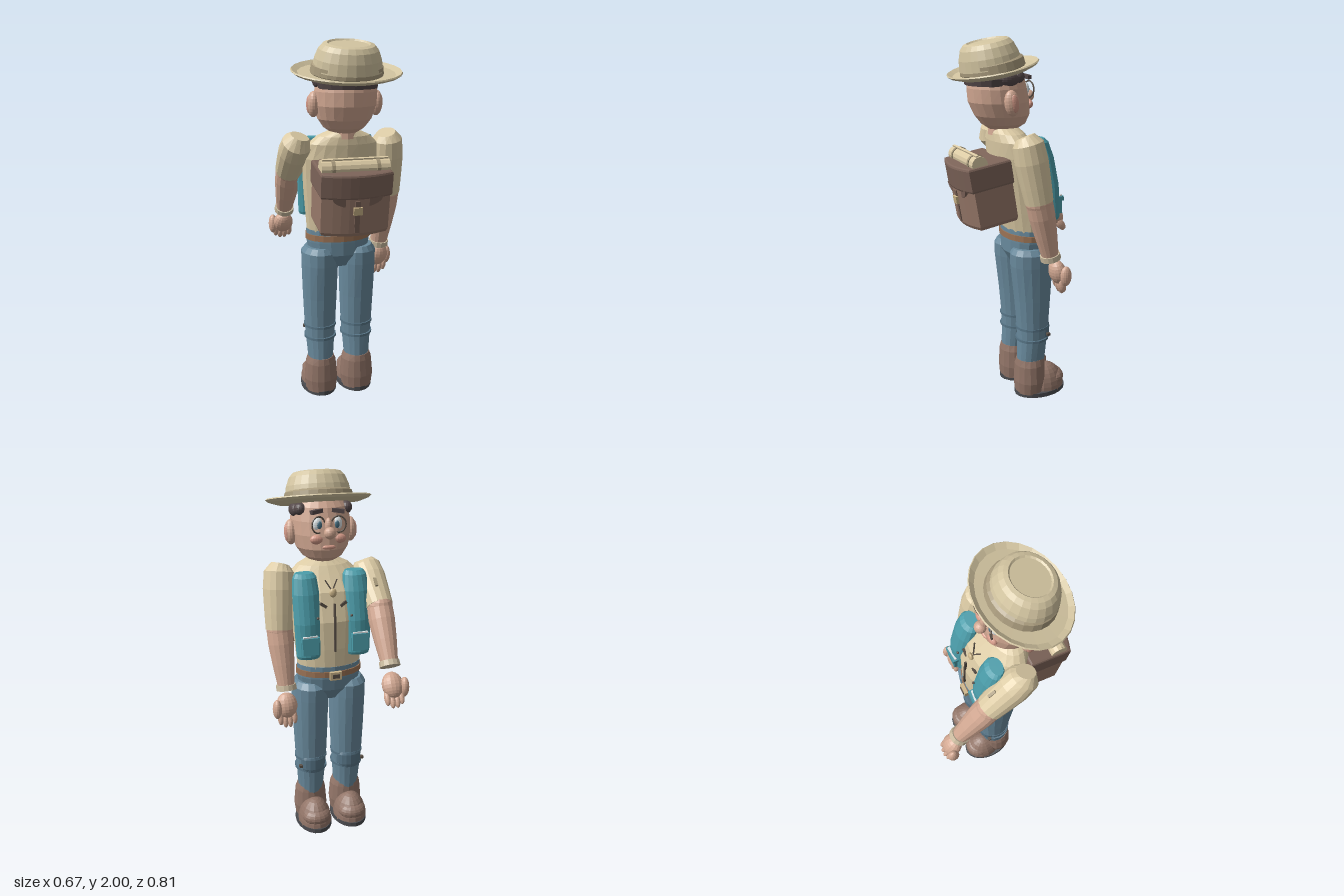
import * as THREE from 'three';

const mat = (color) => new THREE.MeshStandardMaterial({ color, flatShading: true, side: THREE.DoubleSide });
const M = {
  skin: mat(0xd3a993), blush: mat(0xd49a88), shirt: mat(0xdccba5), hat: mat(0xd2c4a0), band: mat(0xa89a7c),
  pants: mat(0x6a8b9e), pad: mat(0x587688), teal: mat(0x4c9eab), boot: mat(0x927568), sole: mat(0x4b4c50),
  bag: mat(0x98796a), flap: mat(0x7d6459), belt: mat(0x9b7355), gold: mat(0xcdb68a), hair: mat(0x55494a),
  white: mat(0xdfe6e8), eye: mat(0x4a7386), dark: mat(0x5b5148), cuff: mat(0xcbbca0),
};

export function createModel() {
  const root = new THREE.Group();
  const add = (name, geo, m, pos = [0, 0, 0], scale = [1, 1, 1], rot = [0, 0, 0], parent = root) => {
    const mesh = new THREE.Mesh(geo, m);
    mesh.name = name;
    mesh.position.set(...pos);
    mesh.scale.set(...scale);
    mesh.rotation.set(...rot);
    parent.add(mesh);
    return mesh;
  };
  const group = (name, pos = [0, 0, 0], rot = [0, 0, 0]) => {
    const g = new THREE.Group();
    g.name = name;
    g.position.set(...pos);
    g.rotation.set(...rot);
    root.add(g);
    return g;
  };
  const ball = (name, m, pos, radii, rot, parent) => add(name, new THREE.SphereGeometry(1, 16, 12), m, pos, radii, rot, parent);
  const box = (name, m, pos, size, rot, parent) => add(name, new THREE.BoxGeometry(1, 1, 1), m, pos, size, rot, parent);

  // Closed skin over elliptical rings [x, y, z, rx, rz], listed from bottom to top;
  // bent rings stand square to the path, others lie level.
  const loft = (rings, bent = false, n = 16) => {
    const pos = [], idx = [], up = new THREE.Vector3(0, 1, 0);
    const c = rings.map((r) => new THREE.Vector3(r[0], r[1], r[2]));
    rings.forEach((r, i) => {
      const t = c[Math.min(i + 1, c.length - 1)].clone().sub(c[Math.max(i - 1, 0)]).normalize();
      const q = new THREE.Quaternion().setFromUnitVectors(up, bent ? t : up);
      for (let j = 0; j < n; j++) {
        const a = (j / n) * Math.PI * 2;
        const v = new THREE.Vector3(Math.cos(a) * r[3], 0, Math.sin(a) * r[4]).applyQuaternion(q).add(c[i]);
        pos.push(v.x, v.y, v.z);
        const k = (j + 1) % n, o = i * n;
        if (i < rings.length - 1) idx.push(o + j, o + n + j, o + k, o + k, o + n + j, o + n + k);
      }
    });
    const b = rings.length * n, top = b - n;
    pos.push(...c[0].toArray(), ...c[c.length - 1].toArray());
    for (let j = 0; j < n; j++) {
      const k = (j + 1) % n;
      idx.push(b, j, k, b + 1, top + k, top + j);
    }
    const g = new THREE.BufferGeometry();
    g.setAttribute('position', new THREE.Float32BufferAttribute(pos, 3));
    g.setIndex(idx);
    g.computeVertexNormals();
    return g;
  };

  // Legs, knee pads and boots
  for (const s of [-1, 1]) {
    const x = 0.107 * s;
    add('leg', loft([[x, 0.2, 0, 0.07, 0.08], [x, 0.35, -0.01, 0.082, 0.085], [x, 0.44, -0.012, 0.089, 0.09],
      [x, 0.6, -0.01, 0.096, 0.102], [x, 0.8, -0.005, 0.102, 0.12], [x, 0.87, -0.005, 0.102, 0.122],
      [x, 0.9, 0, 0.08, 0.1]]), M.pants);
    add('kneePad', loft([[x, 0.35, -0.055, 0.062, 0.05], [x, 0.37, -0.057, 0.07, 0.052],
      [x, 0.43, -0.057, 0.072, 0.052], [x, 0.445, -0.055, 0.062, 0.05]]), M.pad);
    for (const y of [0.36, 0.43]) {
      add('kneeStrap', new THREE.CylinderGeometry(1, 1, 0.014, 16, 1), M.pad, [x, y, -0.01], [0.092, 1, 0.095]);
    }
    box('kneeBuckle', M.dark, [x + 0.075 * s, 0.39, -0.075], [0.02, 0.014, 0.02]);
    add('bootShaft', loft([[x, 0.03, 0.005, 0.088, 0.085], [x, 0.1, 0.005, 0.097, 0.09],
      [x, 0.2, 0.005, 0.088, 0.085], [x, 0.235, 0.003, 0.075, 0.08]]), M.boot);
    add('bootToe', new THREE.SphereGeometry(1, 16, 8, 0, Math.PI * 2, 0, Math.PI / 2), M.boot, [x, 0.03, -0.09], [0.096, 0.145, 0.115]);
    ball('toeCap', M.boot, [x, 0.085, -0.135], [0.082, 0.052, 0.07]);
    add('sole', loft([[x, 0.005, -0.06, 0.09, 0.14], [x, 0.012, -0.06, 0.102, 0.152], [x, 0.037, -0.06, 0.102, 0.152]], false, 20), M.sole);
    for (const [dx, dz] of [[0.04, -0.13], [-0.04, -0.13], [0, 0.03]]) {
      add('tread', new THREE.CylinderGeometry(0.032, 0.032, 0.006, 10), M.flap, [x + dx, 0.003, dz]);
    }
  }

  // Pelvis, belt and torso
  add('pelvis', loft([[0, 0.79, 0, 0.1, 0.07], [0, 0.86, -0.005, 0.165, 0.115], [0, 0.93, -0.01, 0.178, 0.122],
    [0, 1.0, -0.01, 0.18, 0.122]]), M.pants);
  add('belt', new THREE.CylinderGeometry(1, 1, 0.032, 20), M.belt, [0, 0.958, -0.01], [0.184, 1, 0.128]);
  box('buckle', M.gold, [0, 0.955, -0.145], [0.065, 0.045, 0.02]);
  box('buckleInset', M.dark, [0, 0.955, -0.157], [0.04, 0.022, 0.005]);
  add('torso', loft([[0, 0.99, -0.01, 0.176, 0.12], [0, 1.1, 0, 0.186, 0.132], [0, 1.25, 0.015, 0.2, 0.145],
    [0, 1.4, 0.05, 0.208, 0.135], [0, 1.48, 0.085, 0.185, 0.105], [0, 1.52, 0.1, 0.14, 0.088],
    [0, 1.545, 0.11, 0.085, 0.07]], false, 20), M.shirt);
  box('zip', M.dark, [0, 1.22, -0.13], [0.01, 0.26, 0.012], [0.06, 0, 0]);
  ball('pendant', M.gold, [0, 1.4, -0.092], [0.02, 0.024, 0.012]);
  for (const s of [-1, 1]) {
    box('cord', M.dark, [0.017 * s, 1.435, -0.065], [0.006, 0.065, 0.006], [0.4, 0, -0.5 * s]);
    box('chestLoop', M.dark, [0.055 * s, 1.34, -0.1], [0.04, 0.015, 0.012], [0, 0, 0.6 * s]);
  }

  // Vest panels with pockets
  for (const s of [-1, 1]) {
    const x = 0.137 * s;
    add('vestPanel', loft([[x, 1.06, -0.1, 0.06, 0.04], [x, 1.075, -0.1, 0.066, 0.046], [x, 1.25, -0.087, 0.073, 0.05],
      [x, 1.4, -0.055, 0.073, 0.05], [x, 1.48, -0.03, 0.064, 0.045], [x, 1.5, -0.02, 0.05, 0.032]]), M.teal);
    box('vestPocket', M.teal, [x, 1.13, -0.137], [0.085, 0.085, 0.025], [0.06, 0, 0]);
    box('pocketFlap', M.teal, [x, 1.17, -0.142], [0.095, 0.025, 0.03], [0.06, 0, 0]);
    box('pocketTrim', M.white, [x, 1.186, -0.14], [0.08, 0.008, 0.015], [0, 0.1 * s, 0]);
    ball('button', M.dark, [x - 0.045 * s, 1.28, -0.125], [0.007, 0.007, 0.007]);
  }

  // Arms: shoulder, elbow, wrist, palm and fingertip points
  const V = (a) => new THREE.Vector3(...a);
  const arm = (side, sh, el, wr, palm, tip, sleeveEnd) => {
    const mix = (a, b, t) => V(a).lerp(V(b), t).toArray();
    const ring = (p, r) => [...p, r, r];
    const s = Math.sign(sh[0]);
    add(side + 'Sleeve', loft([ring(mix(sh, el, sleeveEnd), 0.074), ring(mix(sh, el, 0.72), 0.08),
      ring(mix(sh, el, 0.3), 0.087), ring(sh, 0.08), ring([sh[0] - 0.01 * s, sh[1] + 0.035, sh[2] + 0.012], 0.05)], true), M.shirt);
    ball(side + 'Elbow', M.skin, el, [0.071, 0.075, 0.072]);
    add(side + 'Forearm', loft([ring(wr, 0.045), ring(mix(el, wr, 0.6), 0.06), ring(mix(el, wr, 0.25), 0.07),
      ring(el, 0.07)], true), M.skin);
    const q = new THREE.Quaternion().setFromUnitVectors(new THREE.Vector3(0, 1, 0), V(el).sub(V(wr)).normalize());
    add(side + 'Cuff', new THREE.CylinderGeometry(0.054, 0.056, 0.03, 14), M.cuff, wr).quaternion.copy(q);
    ball(side + 'Palm', M.skin, palm, [0.058, 0.07, 0.045]).quaternion.copy(q);
    for (let i = 0; i < 4; i++) {
      const dx = (i - 1.5) * 0.026, k = i === 0 || i === 3 ? 0.8 : 1;
      const p = mix(palm, tip, 0.72 * k);
      ball(side + 'Finger', M.skin, [p[0] + dx, p[1], p[2]], [0.016, 0.042, 0.019]).quaternion.copy(q);
    }
    ball(side + 'Thumb', M.skin, [palm[0] + s * 0.058, palm[1] - 0.01, palm[2] - 0.02], [0.025, 0.055, 0.032]);
  };
  arm('right', [-0.238, 1.485, 0.08], [-0.252, 1.31, -0.11], [-0.25, 1.05, -0.285], [-0.25, 0.95, -0.335], [-0.25, 0.85, -0.385], 1);
  arm('left', [0.245, 1.49, 0.085], [0.263, 1.19, 0.03], [0.25, 0.88, -0.045], [0.258, 0.79, -0.085], [0.26, 0.675, -0.105], 1);
  box('sleeveTab', M.band, [-0.235, 1.44, -0.09], [0.015, 0.012, 0.05], [-0.7, 0, 0]);

  // Backpack: outward-bulging body, flap, strap and bedroll, tipped back
  const pack = group('backpack', [0, 1.22, 0.24], [0.16, 0, 0]);
  const packShape = (w, d, bulge) => {
    const sh = new THREE.Shape();
    sh.moveTo(-w, d);
    sh.lineTo(-w, -d);
    sh.quadraticCurveTo(0, -d - bulge, w, -d);
    sh.lineTo(w, d);
    sh.closePath();
    return sh;
  };
  const slab = (w, d, bulge, h, bevel) => new THREE.ExtrudeGeometry(packShape(w - bevel, d - bevel, bulge),
    { depth: h - 2 * bevel, bevelEnabled: true, bevelSize: bevel, bevelThickness: bevel, bevelSegments: 2, curveSegments: 8 });
  add('packBody', slab(0.178, 0.11, 0.06, 0.32, 0.025), M.bag, [0, -0.14, 0], [1, 1, 1], [-Math.PI / 2, 0, 0], pack);
  add('packFlap', slab(0.184, 0.117, 0.064, 0.13, 0.012), M.flap, [0, 0.055, 0], [1, 1, 1], [-Math.PI / 2, 0, 0], pack);
  add('flapTongue', new THREE.CylinderGeometry(0.13, 0.13, 0.02, 20, 1, false, -Math.PI / 2, Math.PI), M.flap,
    [0, 0.055, 0.125], [1, 1, 0.45], [Math.PI / 2, 0, 0], pack);
  box('packStrap', M.flap, [0, -0.05, 0.138], [0.026, 0.17, 0.014], [0, 0, 0], pack);
  box('packBuckle', M.gold, [0, -0.015, 0.148], [0.045, 0.04, 0.014], [0, 0, 0], pack);
  add('bedroll', new THREE.CylinderGeometry(0.043, 0.043, 0.35, 14), M.shirt, [0, 1.39, 0.315], [1, 1, 1], [0, 0, Math.PI / 2]);
  box('bedrollFold', M.shirt, [0, 1.415, 0.32], [0.34, 0.05, 0.012], [0.35, 0, 0]);
  for (const s of [-1, 1]) {
    add('rollStrap', new THREE.CylinderGeometry(0.047, 0.047, 0.018, 14), M.band, [0.115 * s, 1.39, 0.315], [1, 1, 1], [0, 0, Math.PI / 2]);
  }

  // Neck and head
  add('neck', new THREE.CylinderGeometry(0.065, 0.073, 0.09, 14), M.skin, [0, 1.555, 0.12]);
  add('head', loft([[0, 1.54, 0.11, 0.07, 0.08], [0, 1.565, 0.11, 0.108, 0.118], [0, 1.61, 0.118, 0.14, 0.145],
    [0, 1.68, 0.136, 0.158, 0.16], [0, 1.75, 0.146, 0.16, 0.155], [0, 1.82, 0.15, 0.146, 0.14],
    [0, 1.87, 0.155, 0.11, 0.11]], false, 20), M.skin);
  add('hairBand', loft([[0, 1.765, 0.185, 0.15, 0.125], [0, 1.8, 0.185, 0.158, 0.132], [0, 1.84, 0.17, 0.15, 0.13]]), M.hair);
  for (const s of [-1, 1]) {
    ball('ear', M.skin, [0.165 * s, 1.685, 0.135], [0.032, 0.066, 0.04], [0.12, 0, 0]);
    ball('innerEar', M.blush, [0.187 * s, 1.685, 0.13], [0.013, 0.045, 0.022], [0.12, 0, 0]);
    ball('sideHair', M.hair, [0.14 * s, 1.8, 0.14], [0.03, 0.036, 0.055]);
    ball('frontHair', M.hair, [0.125 * s, 1.81, 0.085], [0.032, 0.032, 0.036]);
    ball('eye', M.white, [0.052 * s, 1.74, 0.01], [0.028, 0.037, 0.02]);
    ball('iris', M.eye, [0.047 * s, 1.738, -0.008], [0.013, 0.019, 0.007]);
    add('glassesRim', new THREE.TorusGeometry(0.038, 0.004, 6, 20), M.dark, [0.054 * s, 1.74, -0.012], [1, 1.1, 1], [0, 0.25 * s, 0]);
    box('brow', M.hair, [0.058 * s, 1.805, 0.01], [0.065, 0.02, 0.025], [0, 0.3 * s, -0.12 * s]);
    ball('cheek', M.blush, [0.06 * s, 1.665, -0.004], [0.037, 0.025, 0.022]);
  }
  ball('noseBridge', M.skin, [0, 1.73, -0.012], [0.02, 0.045, 0.024]);
  ball('noseTip', M.skin, [0, 1.7, -0.036], [0.031, 0.031, 0.03]);
  ball('mouth', M.blush, [0, 1.625, -0.018], [0.038, 0.013, 0.015]);

  // Hat, tipped backwards
  const hat = group('hat', [0, 1.83, 0.165], [0.21, 0, 0]);
  const turn = (pts) => new THREE.LatheGeometry(pts.map((p) => new THREE.Vector2(...p)), 24);
  add('brim', turn([[0.15, -0.006], [0.22, -0.008], [0.27, 0.008], [0.285, 0.02], [0.28, 0.026], [0.25, 0.01], [0.17, 0.008]]),
    M.hat, [0, 0, 0], [1, 1, 0.81], [0, 0, 0], hat);
  add('hatBand', turn([[0.175, 0], [0.186, 0.012], [0.18, 0.052], [0.165, 0.062]]), M.band, [0, 0, 0], [1, 1, 0.9], [0, 0, 0], hat);
  add('crown', turn([[0.178, 0.03], [0.168, 0.085], [0.15, 0.13], [0.13, 0.152], [0.108, 0.158], [0.1, 0.15], [0, 0.15]]),
    M.hat, [0, 0, 0.008], [1, 1, 0.9], [0, 0, 0], hat);
  return root;
}
